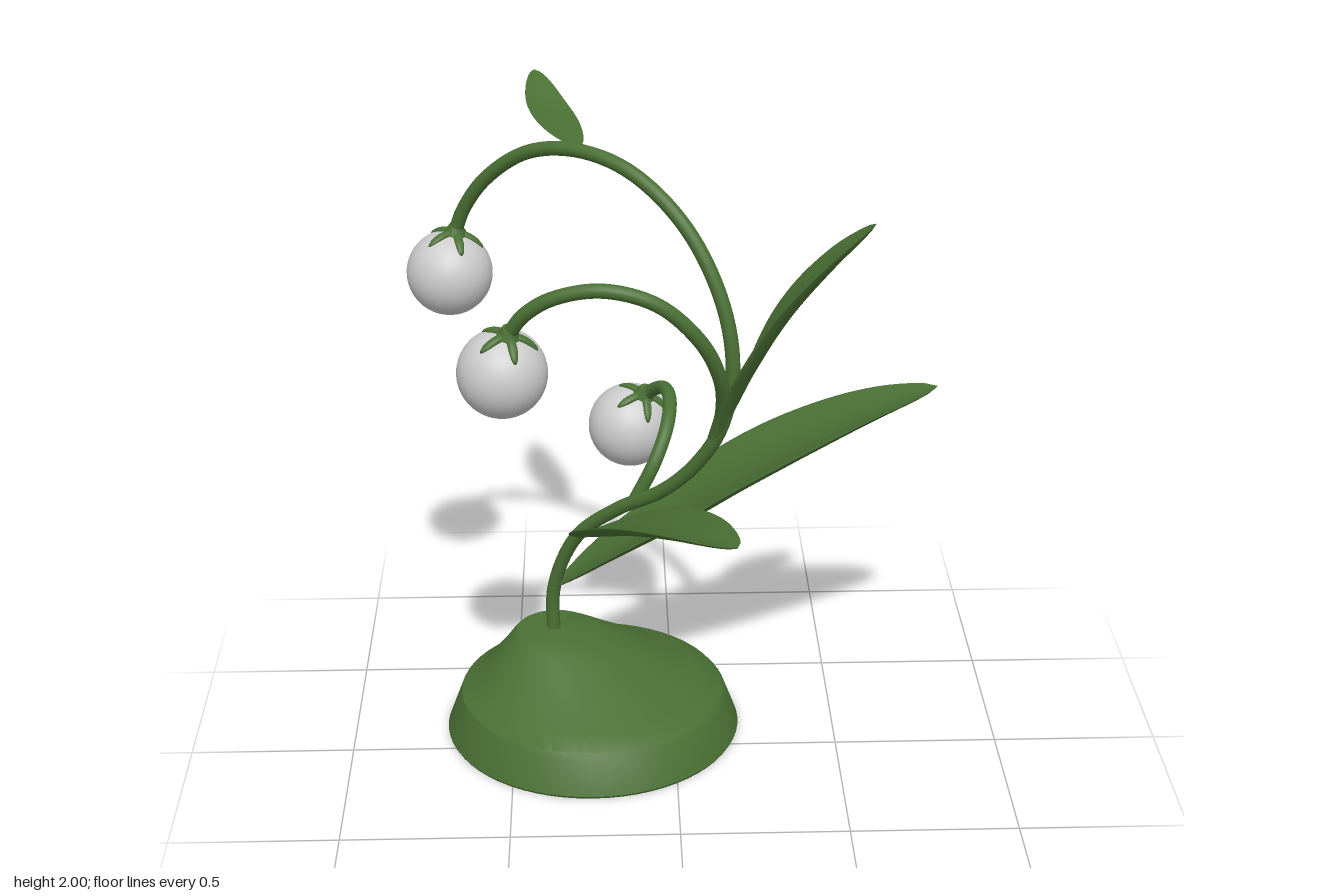
import * as THREE from 'three';
import { ParametricGeometry } from 'three/addons/geometries/ParametricGeometry.js';
import { toCreasedNormals } from 'three/addons/utils/BufferGeometryUtils.js';

const green = new THREE.MeshStandardMaterial({ color: 0x4a7034 });
const greenThin = new THREE.MeshStandardMaterial({ color: 0x4a7034, side: THREE.DoubleSide });
const grey = new THREE.MeshStandardMaterial({ color: 0xcccccc });
const UP = new THREE.Vector3(0, 1, 0);
const BEAD_RADIUS = 0.13;

const curveThrough = (points) => new THREE.CatmullRomCurve3(points.map((p) => new THREE.Vector3(...p)));

function addMesh(parent, name, geometry, material) {
  const mesh = new THREE.Mesh(geometry, material);
  mesh.name = name;
  parent.add(mesh);
  return mesh;
}

// Mound: a lathe whose axis leans towards the foot of the stem
function moundGeometry() {
  const profile = [[0, 0], [0.452, 0], [0.457, 0.008], [0.417, 0.115], [0.407, 0.13],
    [0.35, 0.155], [0.275, 0.2], [0.2, 0.248], [0.15, 0.282], [0.12, 0.3], [0, 0.3]];
  const geometry = new THREE.LatheGeometry(profile.map((p) => new THREE.Vector2(...p)), 64);
  const pos = geometry.attributes.position;
  for (let i = 0; i < pos.count; i++) {
    const y = pos.getY(i);
    const lean = Math.max(0, (y - 0.125) / 0.175);
    pos.setX(i, pos.getX(i) - 0.255 - 0.115 * lean);
    pos.setZ(i, pos.getZ(i) - 0.152 - 0.068 * lean);
  }
  return toCreasedNormals(geometry, 0.55);
}

// Leaf: a thin, cupped lens section swept along its midrib
function leafGeometry(points, halfWidth, cup, thickness) {
  const curve = curveThrough(points);
  return new ParametricGeometry((u, v, target) => {
    const t = THREE.MathUtils.clamp(u, 0.0005, 0.9995);
    const a = v * Math.PI * 2;
    const tangent = curve.getTangentAt(t);
    const across = new THREE.Vector3().crossVectors(tangent, UP).normalize();
    const normal = new THREE.Vector3().crossVectors(across, tangent);
    const swell = Math.pow(Math.sin(Math.PI * t), 0.6);
    const lift = swell * (cup * (Math.cos(a) ** 2 - 0.5) + thickness * Math.sin(a));
    target.copy(curve.getPointAt(t))
      .addScaledVector(across, halfWidth * swell * Math.cos(a))
      .addScaledVector(normal, lift);
  }, 40, 32);
}

// Calyx: a five-pointed cap lying on the bead
const calyxGeometry = new ParametricGeometry((u, v, target) => {
  const phi = -v * Math.PI * 2;
  const point = Math.pow(Math.abs(Math.cos(2.5 * phi)), 5);
  const theta = Math.max(u, 0.001) * (0.24 + 0.52 * point);
  const r = BEAD_RADIUS + 0.012 * Math.sqrt(1 - u * u);
  target.set(r * Math.sin(theta) * Math.cos(phi), r * Math.cos(theta), r * Math.sin(theta) * Math.sin(phi));
}, 12, 120);

// Hanging bead with its calyx turned towards the end of the stalk
function makeBead(center, stalkEnd) {
  const bead = new THREE.Group();
  bead.name = 'flowerBead';
  addMesh(bead, 'bead', new THREE.SphereGeometry(BEAD_RADIUS, 40, 28), grey);
  addMesh(bead, 'calyx', calyxGeometry, greenThin);
  const neck = addMesh(bead, 'neck', new THREE.CylinderGeometry(0.021, 0.034, 0.03, 20), green);
  neck.position.y = BEAD_RADIUS + 0.012;
  bead.position.set(...center);
  const axis = new THREE.Vector3(...stalkEnd).sub(bead.position).normalize();
  bead.quaternion.setFromUnitVectors(UP, axis);
  return bead;
}

export function createModel() {
  const model = new THREE.Group();
  model.name = 'plant';
  addMesh(model, 'mound', moundGeometry(), green);

  // The main stem stays in one upright plane, so z follows from x
  const mainStem = [[-0.375, 0.27], [-0.372, 0.44], [-0.3, 0.64], [-0.17, 0.78], [-0.04, 0.88],
    [0.06, 1.0], [0.13, 1.14], [0.16, 1.32], [0.13, 1.52], [0.03, 1.72], [-0.12, 1.85],
    [-0.27, 1.885], [-0.42, 1.85], [-0.55, 1.74], [-0.62, 1.63], [-0.647, 1.555]]
    .map(([x, y]) => [x, y, -0.42 + (x + 0.65) * 0.69]);

  const stems = [
    { name: 'mainStem', points: mainStem, bead: [-0.67, 1.42, -0.425] },
    { name: 'frontStalk',
      points: [[0.11, 1.09, 0.1], [0.13, 1.2, 0.15], [0.12, 1.33, 0.22], [0.06, 1.47, 0.275],
        [-0.06, 1.59, 0.302], [-0.21, 1.63, 0.295], [-0.35, 1.595, 0.262], [-0.43, 1.535, 0.233], [-0.472, 1.47, 0.205]],
      bead: [-0.495, 1.34, 0.175] },
    { name: 'backStalk',
      points: [[-0.12, 0.82, -0.06], [-0.06, 0.94, -0.07], [-0.02, 1.03, -0.14], [-0.01, 1.075, -0.24],
        [-0.025, 1.075, -0.32], [-0.06, 1.04, -0.385], [-0.09, 1.0, -0.41]],
      bead: [-0.127, 0.9, -0.442] },
  ];
  for (const { name, points, bead } of stems) {
    addMesh(model, name, new THREE.TubeGeometry(curveThrough(points), 90, 0.021, 16), green);
    model.add(makeBead(bead, points[points.length - 1]));
  }

  // Leaves: midrib points, half width, cup depth, half thickness
  const leaves = [
    ['largeLeaf', [[-0.37, 0.45, -0.22], [-0.2, 0.585, -0.205], [0, 0.725, -0.19], [0.2, 0.86, -0.185],
      [0.4, 0.97, -0.185], [0.6, 1.06, -0.187], [0.795, 1.125, -0.19]], 0.183, 0.045, 0.016],
    ['frontLeaf', [[-0.3, 0.65, -0.17], [-0.21, 0.76, 0], [-0.09, 0.87, 0.2],
      [0.03, 0.95, 0.41], [0.15, 0.995, 0.61]], 0.13, 0.035, 0.013],
    ['upperLeaf', [[0.125, 1.12, 0.12], [0.2, 1.33, 0.15], [0.3, 1.52, 0.175],
      [0.42, 1.67, 0.2], [0.545, 1.79, 0.222]], 0.112, 0.03, 0.012],
    ['topLeaf', [[-0.27, 1.895, -0.16], [-0.32, 1.908, -0.3], [-0.37, 1.938, -0.45],
      [-0.405, 1.998, -0.6]], 0.062, 0.015, 0.008],
  ];
  for (const [name, points, ...size] of leaves) {
    addMesh(model, name, leafGeometry(points, ...size), greenThin);
  }
  return model;
}
